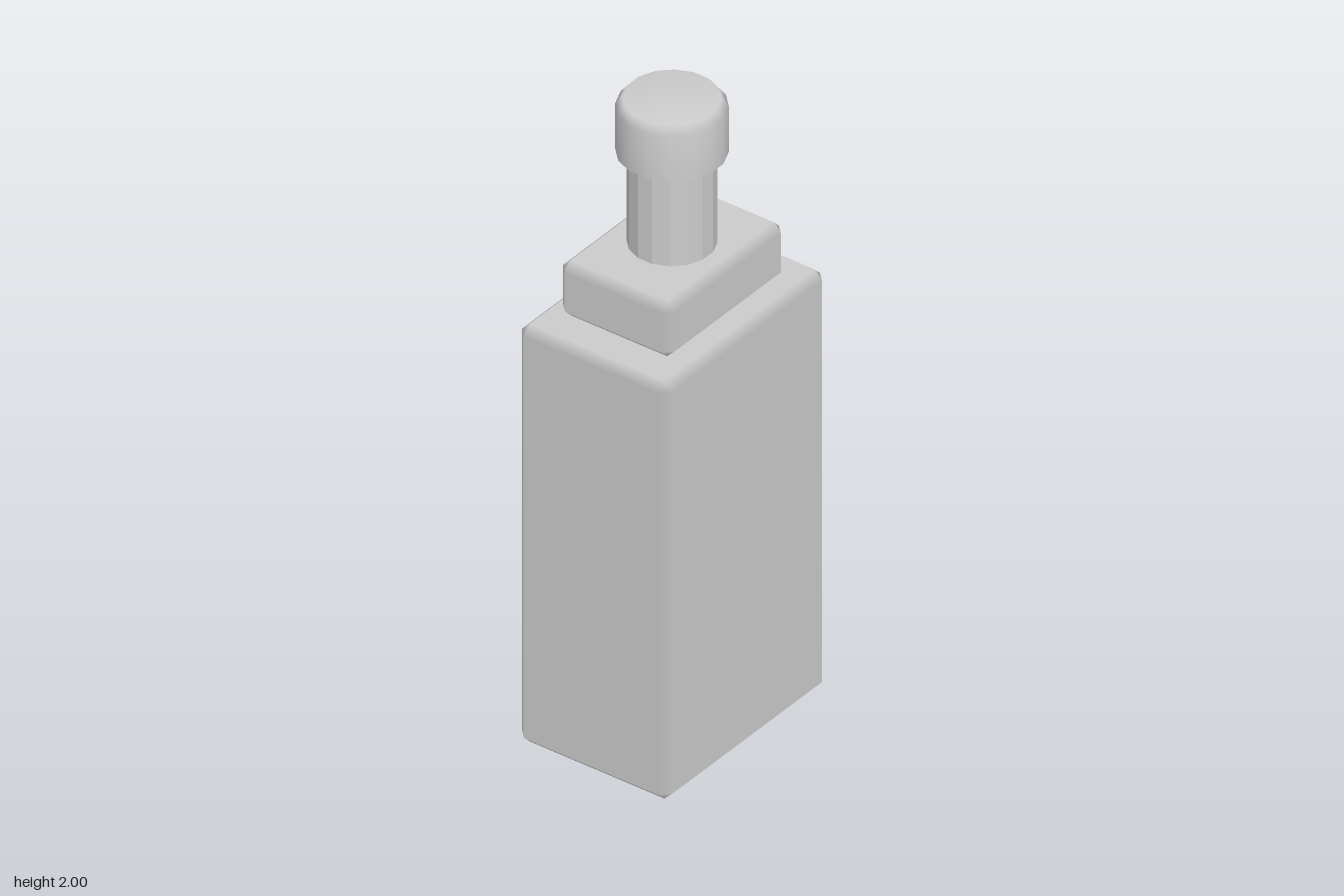
import * as THREE from 'three';
import { ConvexGeometry } from 'three/addons/geometries/ConvexGeometry.js';

const SIDES = 16;
const HALF_STEP = Math.PI / SIDES;

// Box with a single 45 degree chamfer; flat faces blend softly over the chamfers
function chamferedBox(w, h, d, c) {
  const half = [w / 2, h / 2, d / 2];
  const points = [];
  for (const sx of [-1, 1]) for (const sy of [-1, 1]) for (const sz of [-1, 1]) {
    const s = [sx, sy, sz];
    for (let axis = 0; axis < 3; axis++) {
      points.push(new THREE.Vector3(...s.map((v, i) => v * (half[i] - (i === axis ? 0 : c)))));
    }
  }
  const geo = new ConvexGeometry(points);
  const pos = geo.attributes.position;
  for (let i = 0; i < pos.count; i++) {
    const p = [pos.getX(i), pos.getY(i), pos.getZ(i)];
    // each corner lies on exactly one main face and takes that face's normal
    const n = p.map((v, k) => (Math.abs(Math.abs(v) - half[k]) < 1e-5 ? Math.sign(v) : 0));
    geo.attributes.normal.setXYZ(i, ...n);
  }
  return geo;
}

export function createModel() {
  const model = new THREE.Group();
  model.name = 'bottle';
  const grey = new THREE.MeshStandardMaterial({ color: 0xcccccc });
  grey.name = 'paleGrey';

  function add(name, geo, y) {
    const mesh = new THREE.Mesh(geo, grey);
    mesh.name = name;
    mesh.position.y = y;
    model.add(mesh);
  }

  // Tall body and the smaller shoulder block on it
  add('body', chamferedBox(0.72, 1.355, 0.505, 0.027), 0.6775);
  add('shoulder', chamferedBox(0.525, 0.18, 0.376, 0.027), 1.445);

  // Faceted neck
  const apothem = Math.cos(HALF_STEP);
  const neck = new THREE.CylinderGeometry(0.12 / apothem, 0.12 / apothem, 0.32, SIDES, 1, true, HALF_STEP)
    .toNonIndexed();
  neck.computeVertexNormals();
  add('neck', neck, 1.69);

  // Cap with a bevelled top; the doubled point keeps the lower rim sharp
  const profile = [[0, 0], [0.15, 0], [0.15, 0], [0.15, 0.145], [0.131, 0.17], [0, 0.17]]
    .map(([r, y]) => new THREE.Vector2(r / apothem, y));
  add('cap', new THREE.LatheGeometry(profile, SIDES, HALF_STEP), 1.83);

  return model;
}
